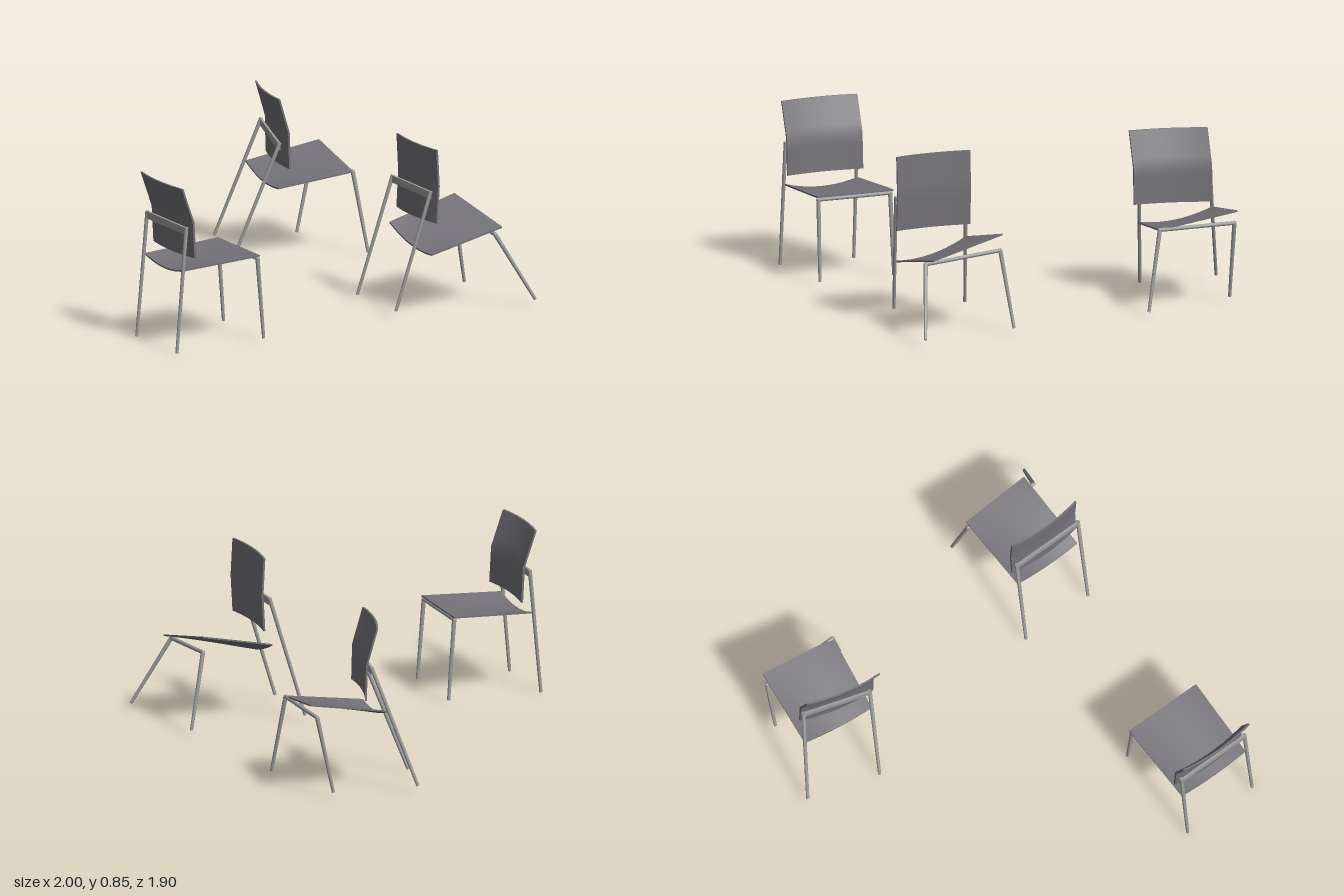
import * as THREE from 'three';

const V = (x, y, z) => new THREE.Vector3(x, y, z);
const mix = ([a, b], t) => a.clone().lerp(b, t);
// Two points that differ only in z, +z side first
const pair = (x, y, zLeft, zRight) => [V(x, y, zLeft), V(x, y, zRight)];

const shell = new THREE.MeshStandardMaterial({ color: 0x747278 });
shell.name = 'dark grey shell';
const metal = new THREE.MeshStandardMaterial({ color: 0x9d9d9b });
metal.name = 'light grey frame';

function add(group, geo, mat, name) {
  const mesh = new THREE.Mesh(geo, mat);
  mesh.name = name;
  group.add(mesh);
  return mesh;
}

// Moves every vertex of a unit slab (coordinates -0.5..0.5) by a rule
function slab(segments, rule) {
  const geo = new THREE.BoxGeometry(1, 1, 1, ...segments);
  const pos = geo.attributes.position;
  for (let i = 0; i < pos.count; i++) {
    const p = rule(pos.getX(i), pos.getY(i), pos.getZ(i));
    pos.setXYZ(i, p.x, p.y, p.z);
  }
  geo.computeVertexNormals();
  return geo;
}

// Tapered round bar between two points
function bar(group, a, b, r0, r1, name) {
  const dir = b.clone().sub(a);
  const mesh = add(group, new THREE.CylinderGeometry(r1, r0, dir.length(), 10), metal, name);
  mesh.position.copy(a).lerp(b, 0.5);
  mesh.quaternion.setFromUnitVectors(V(0, 1, 0), dir.normalize());
}

// A chair facing +x; seat and legs are [+z side, -z side] point pairs
function buildChair(name, { seatRear, seatFront, rearTop, rearFoot, frontTop, frontFoot, back }) {
  const g = new THREE.Group();
  g.name = name;

  // Seat: flat at the front, dished towards the rear
  add(g, slab([8, 1, 10], (x, y, z) => {
    const p = mix(seatRear, 0.5 - z).lerp(mix(seatFront, 0.5 - z), x + 0.5);
    p.y += y * 0.008 - 0.028 * (1 - 4 * z * z) * (0.5 - x);
    return p;
  }), shell, 'seat');

  // Backrest: bends at mid height and bows backwards across its width
  add(g, slab([1, 8, 10], (x, y, z) => {
    const p = mix(back.base, 0.5 - z);
    const lean = y > 0
      ? THREE.MathUtils.lerp(back.midLean, back.topLean, 2 * y)
      : back.midLean * (1 + 2 * y);
    p.x += lean + x * 0.01 - 0.02 * (1 - 4 * z * z);
    p.y += (y + 0.5) * back.height;
    return p;
  }), shell, 'backrest');

  // Legs, with rounded shoulders at the front
  for (const i of [0, 1]) {
    bar(g, rearFoot[i], rearTop[i], 0.008, 0.01, 'rearLeg');
    bar(g, frontFoot[i], frontTop[i], 0.008, 0.011, 'frontLeg');
    add(g, new THREE.SphereGeometry(0.011, 10, 8), metal, 'frontLegJoint').position.copy(frontTop[i]);
  }

  // Rail under the front of the seat
  bar(g, ...frontTop, 0.01, 0.01, 'frontRail');

  // Flat crossbar behind the backrest
  add(g, slab([1, 1, 1], (x, y, z) => {
    const p = mix(rearTop, 0.5 - z);
    p.x += x * 0.012 - 0.003;
    p.y += y * 0.036 - 0.018;
    return p;
  }), metal, 'backCrossbar');

  return g;
}

export function createModel() {
  const model = new THREE.Group();
  model.name = 'threeChairs';

  model.add(buildChair('uprightChair', {
    seatRear: pair(-0.945, 0.412, 0.85, 0.46),
    seatFront: pair(-0.525, 0.436, 0.86, 0.45),
    rearTop: pair(-0.935, 0.63, 0.85, 0.465),
    rearFoot: pair(-0.992, 0, 0.855, 0.46),
    frontTop: pair(-0.532, 0.422, 0.85, 0.465),
    frontFoot: pair(-0.5, 0.015, 0.855, 0.46),
    back: { base: pair(-0.89, 0.47, 0.86, 0.455), height: 0.36, midLean: -0.01, topLean: -0.073 },
  }));

  // Seat tipped sideways and backwards, legs splayed
  model.add(buildChair('frontTiltedChair', {
    seatRear: [V(0.45, 0.315, 0.86), V(0.43, 0.4, 0.48)],
    seatFront: [V(0.86, 0.4, 0.84), V(0.815, 0.49, 0.45)],
    rearTop: pair(0.445, 0.64, 0.86, 0.485),
    rearFoot: pair(0.282, 0.04, 0.8, 0.42),
    frontTop: [V(0.81, 0.375, 0.86), V(0.81, 0.41, 0.46)],
    frontFoot: [V(0.992, 0.04, 0.94), V(0.888, 0.03, 0.42)],
    back: { base: pair(0.475, 0.475, 0.87, 0.477), height: 0.372, midLean: 0.01, topLean: 0 },
  }));

  // Turned slightly, seat tipped, legs splayed
  model.add(buildChair('rearTiltedChair', {
    seatRear: [V(0.35, 0.37, -0.475), V(0.385, 0.42, -0.86)],
    seatFront: [V(0.74, 0.418, -0.42), V(0.78, 0.485, -0.825)],
    rearTop: [V(0.36, 0.6, -0.48), V(0.45, 0.64, -0.82)],
    rearFoot: [V(0.152, 0.02, -0.575), V(0.253, 0.045, -0.94)],
    frontTop: pair(0.742, 0.418, -0.425, -0.825),
    frontFoot: [V(0.785, 0.02, -0.348), V(0.66, 0.03, -0.835)],
    back: {
      base: [V(0.393, 0.472, -0.438), V(0.48, 0.472, -0.82)],
      height: 0.361, midLean: -0.005, topLean: -0.06,
    },
  }));

  return model;
}
